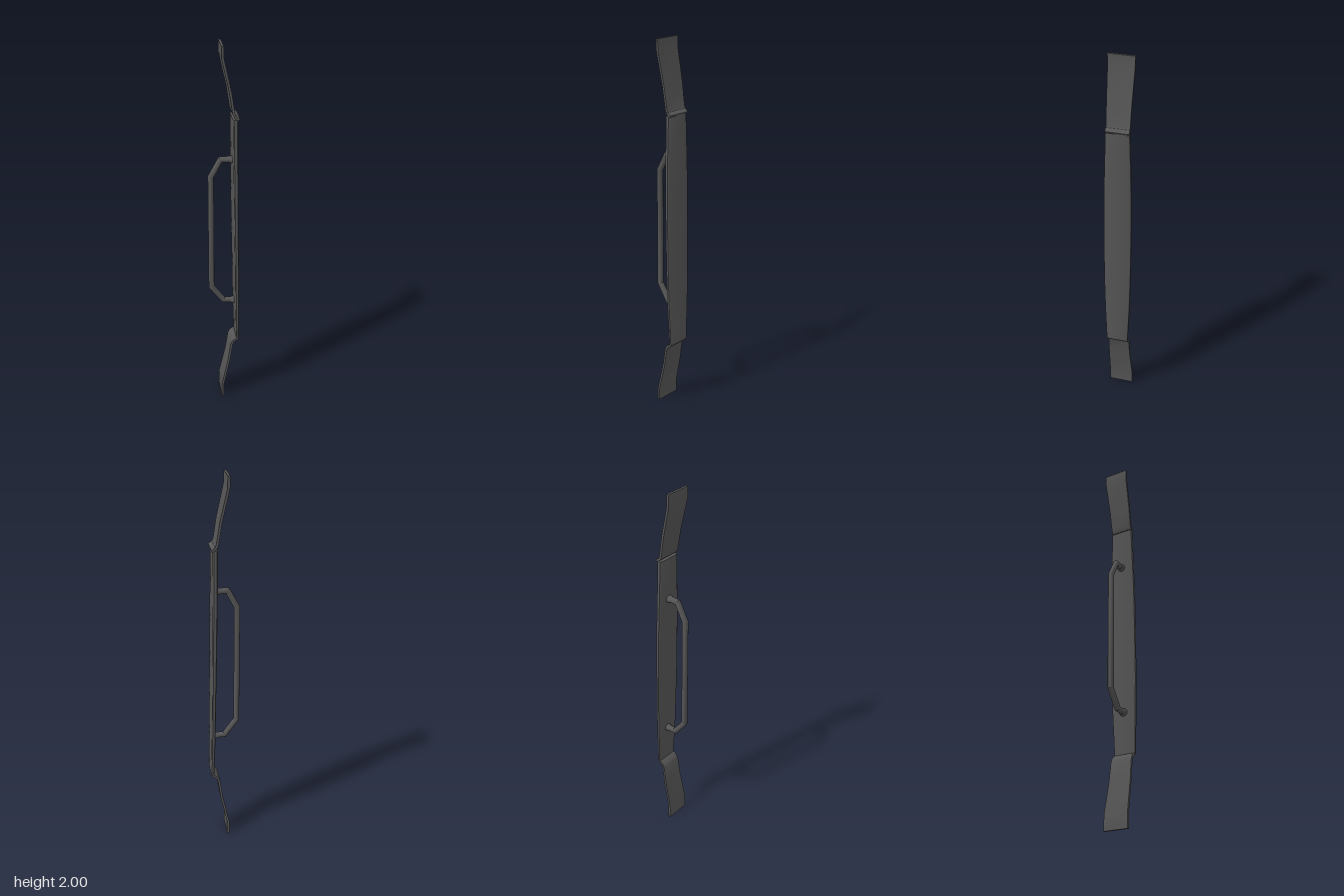
import * as THREE from 'three';
import { toCreasedNormals } from 'three/addons/utils/BufferGeometryUtils.js';

// Sweep an outline [u, v] along a path of [x, y, thickness, width] in the xy plane, with mitred corners
function sweep(path, outline) {
  const pos = [], idx = [], n = outline.length;
  const dir = (a, b) => new THREE.Vector2(b[0] - a[0], b[1] - a[1]).normalize();
  path.forEach((p, i) => {
    const a = i > 0 ? dir(path[i - 1], p) : dir(p, path[1]);
    const b = i < path.length - 1 ? dir(p, path[i + 1]) : a;
    const t = a.clone().add(b).normalize();
    const mitre = 1 / Math.max(t.dot(a), 0.5);
    for (const [u, v] of outline) {
      const r = u * p[2] * mitre;
      pos.push(p[0] - t.y * r, p[1] + t.x * r, v * p[3]);
    }
    if (i === 0) return;
    for (let j = 0; j < n; j++) {
      const k = (j + 1) % n, lo = (i - 1) * n, hi = i * n;
      idx.push(lo + j, lo + k, hi + k, lo + j, hi + k, hi + j);
    }
  });
  const last = (path.length - 1) * n;
  for (let j = 1; j < n - 1; j++) idx.push(0, j + 1, j, last, last + j, last + j + 1);
  const geo = new THREE.BufferGeometry();
  geo.setAttribute('position', new THREE.Float32BufferAttribute(pos, 3));
  geo.setIndex(idx);
  return toCreasedNormals(geo, 0.6);
}

export function createModel() {
  const group = new THREE.Group();
  const metal = new THREE.MeshStandardMaterial({ color: 0x555555 });
  const add = (name, geo) => {
    const mesh = new THREE.Mesh(geo, metal);
    mesh.name = name;
    group.add(mesh);
    return mesh;
  };

  const flat = [[-1, -1], [1, -1], [1, 1], [-1, 1]];
  const chamfered = [[-1, -0.87], [-0.6, -1], [0.6, -1], [1, -0.87], [1, 0.87], [0.6, 1], [-0.6, 1], [-1, 0.87]];
  const round = Array.from({ length: 14 }, (_, i) => {
    const a = (i / 14) * Math.PI * 2;
    return [Math.cos(a), Math.sin(a)];
  });

  // Long bowed centre plate, leaning slightly and thinner at the foot
  add('centrePlate', sweep([
    [0.068, 0.382, 0.008, 0.058],
    [0.063, 0.60, 0.010, 0.066],
    [0.060, 0.80, 0.010, 0.070],
    [0.056, 1.02, 0.011, 0.071],
    [0.053, 1.25, 0.012, 0.070],
    [0.050, 1.42, 0.012, 0.066],
    [0.048, 1.642, 0.013, 0.059],
  ], chamfered));

  // Bent end straps
  add('lowerStrap', sweep([
    [-0.015, 0, 0.006, 0.066],
    [-0.015, 0.075, 0.006, 0.065],
    [0.020, 0.24, 0.006, 0.060],
    [0.035, 0.345, 0.006, 0.058],
    [0.044, 0.362, 0.006, 0.057],
    [0.070, 0.381, 0.006, 0.057],
  ], flat));
  add('upperStrap', sweep([
    [0.066, 1.642, 0.006, 0.059],
    [0.046, 1.655, 0.006, 0.059],
    [0.039, 1.672, 0.006, 0.059],
    [0.022, 1.78, 0.006, 0.061],
    [-0.015, 1.945, 0.006, 0.065],
    [-0.015, 2, 0.006, 0.066],
  ], flat));

  // Grab handle with mitred bends
  const r = 0.015;
  add('handle', sweep([
    [0.062, 0.598], [-0.004, 0.602], [-0.067, 0.69], [-0.067, 1.33], [-0.018, 1.42], [0.050, 1.418],
  ].map(([x, y]) => [x, y, r, r + 0.001]), round));

  // Flared feet where the handle meets the plate
  for (const [name, x, y] of [['lowerHandleFoot', 0.046, 0.598], ['upperHandleFoot', 0.032, 1.418]]) {
    const foot = add(name, new THREE.CylinderGeometry(0.016, 0.022, 0.022, 14));
    foot.position.set(x, y, 0);
    foot.rotation.z = Math.PI / 2;
  }
  return group;
}
